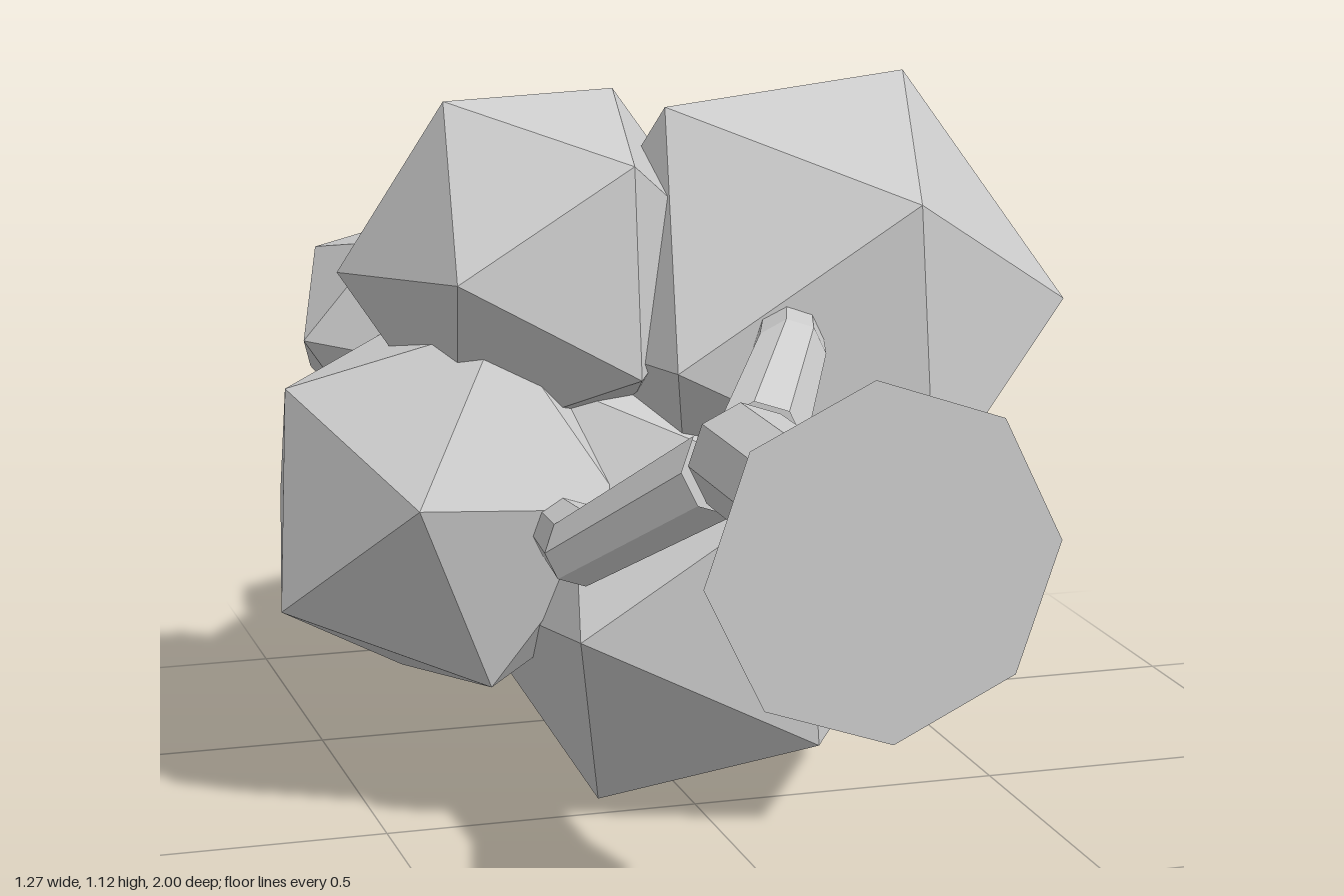
import * as THREE from 'three';

const material = new THREE.MeshStandardMaterial({ color: 0xcccccc, flatShading: true });

// Icosahedron placed by its centre and two neighbouring corners.
function leafClump(name, centre, cornerA, cornerB) {
  const c = new THREE.Vector3(...centre);
  const a = new THREE.Vector3(...cornerA).sub(c);
  const b = new THREE.Vector3(...cornerB).sub(c);
  const radius = (a.length() + b.length()) / 2;
  a.normalize();
  b.normalize();
  const x = b.clone().sub(a).normalize();
  const y = a.add(b).normalize();
  const z = x.clone().cross(y);
  const mesh = new THREE.Mesh(new THREE.IcosahedronGeometry(radius, 0), material);
  mesh.quaternion.setFromRotationMatrix(new THREE.Matrix4().makeBasis(x, y, z));
  mesh.position.copy(c);
  mesh.name = name;
  return mesh;
}

// Tapered limb along z; each ring is [z, centreX, centreY, radius], z ascending.
function limb(name, rings, sides) {
  const profile = rings.map(([z, , , r]) => new THREE.Vector2(r, z));
  const geometry = new THREE.LatheGeometry(profile, sides);
  geometry.rotateX(Math.PI / 2);
  geometry.rotateZ(0.06);
  const pos = geometry.attributes.position;
  for (let i = 0; i < pos.count; i++) {
    const [, cx, cy] = rings[i % rings.length];
    pos.setXY(i, pos.getX(i) + cx, pos.getY(i) + cy);
  }
  geometry.computeVertexNormals();
  const mesh = new THREE.Mesh(geometry, material);
  mesh.name = name;
  return mesh;
}

export function createModel() {
  const tree = new THREE.Group();
  tree.name = 'lyingTree';

  // Trunk with a flared, closed foot
  tree.add(limb('trunk', [
    [0.31, -0.04, 0.66, 0],
    [0.38, -0.04, 0.66, 0.085],
    [0.6, -0.04, 0.66, 0.085],
    [0.915, -0.04, 0.66, 0.152],
    [1, -0.04, 0.66, 0.25],
    [1, -0.04, 0.66, 0],
  ], 8));

  // Forked branches running into the crown
  tree.add(limb('rightBranch', [
    [-0.05, -0.22, 0.48, 0.045],
    [0.22, -0.24, 0.5, 0.06],
    [0.38, -0.06, 0.65, 0.075],
  ], 8));
  tree.add(limb('leftBranch', [
    [-0.05, 0.17, 0.8, 0.045],
    [0.22, 0.08, 0.77, 0.06],
    [0.38, -0.02, 0.67, 0.075],
  ], 8));

  // Crown of faceted leaf clumps: centre and two neighbouring corners
  const clumps = {
    upperLeftLeaves: [[0.225, 0.753, -0.181], [0.42, 1.13, -0.24], [0.635, 0.775, -0.06]],
    lowerLeaves: [[0.039, 0.353, -0.124], [0.14, 0.15, 0.2], [-0.14, 0.005, -0.07]],
    lowerRightLeaves: [[-0.352, 0.488, -0.177], [-0.64, 0.345, -0.1], [-0.465, 0.55, 0.125]],
    upperRightLeaves: [[-0.199, 0.851, -0.211], [-0.355, 1.12, -0.175], [-0.1, 1.035, 0.02]],
    middleLeaves: [[0.007, 0.586, -0.524], [0.296, 0.6, -0.8], [0.196, 0.94, -0.58]],
    tipLeaves: [[0, 0.71, -0.8], [-0.01, 0.91, -0.87], [0.05, 0.73, -1]],
    smallLeftLeaves: [[0.385, 0.475, -0.445], [0.58, 0.51, -0.485], [0.54, 0.37, -0.35]],
    smallRightLeaves: [[-0.35, 0.71, -0.48], [-0.535, 0.7, -0.4], [-0.47, 0.83, -0.57]],
  };
  for (const [name, points] of Object.entries(clumps)) tree.add(leafClump(name, ...points));

  return tree;
}
